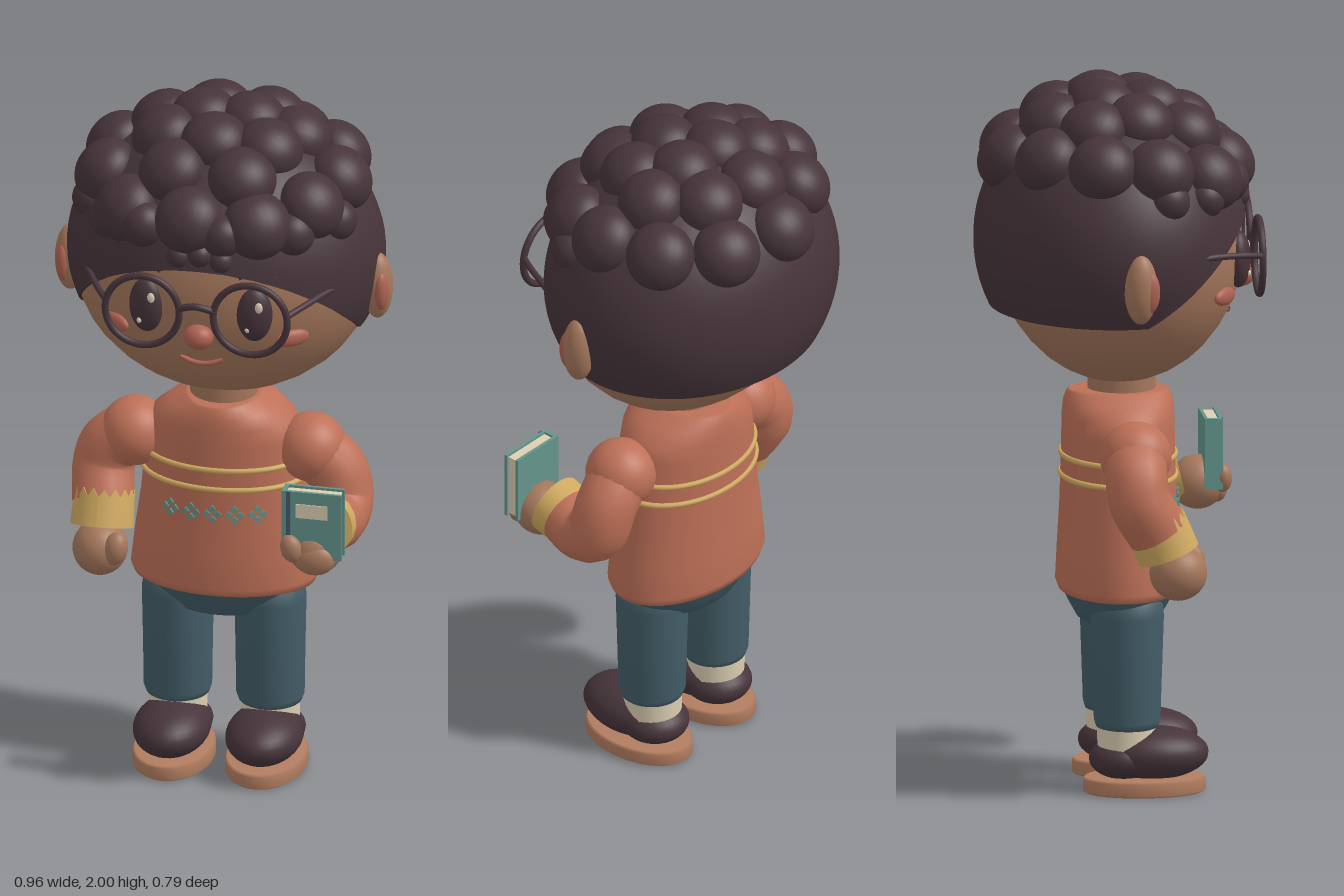
import * as THREE from 'three';

const mat = (name, color) => { const m = new THREE.MeshStandardMaterial({ color, side: THREE.DoubleSide }); m.name = name; return m; };
const M = {
  hair: mat('dark brown', 0x46343a), skin: mat('skin', 0xa5775c), sweater: mat('terracotta', 0xbd7057),
  pants: mat('slate blue', 0x435d67), teal: mat('teal', 0x64958c), mustard: mat('mustard', 0xcfa960),
  cream: mat('cream', 0xdccfb2), blush: mat('blush', 0xad6252), sole: mat('tan sole', 0xb27d60),
};
const V = (p) => new THREE.Vector3(...p);

function add(parent, name, geo, material, pos = [0, 0, 0], rot = [0, 0, 0], scale = [1, 1, 1]) {
  const m = new THREE.Mesh(geo, material);
  m.name = name;
  m.position.set(...pos); m.rotation.set(...rot); m.scale.set(...scale);
  parent.add(m);
  return m;
}
const ball = (parent, name, material, pos, scale, rot) =>
  add(parent, name, new THREE.SphereGeometry(1, 28, 20), material, pos, rot, scale);
const tube = (parent, name, material, pts, r, seg = 16) =>
  add(parent, name, new THREE.TubeGeometry(new THREE.CatmullRomCurve3(pts.map(V)), seg, r, 16), material);

// Surface of closed rings, listed bottom to top; fn(row, angle) gives a point
function rings(rows, cols, fn) {
  const pos = [], idx = [];
  for (let i = 0; i < rows; i++) for (let j = 0; j < cols; j++) {
    pos.push(...fn(i, (j / cols) * Math.PI * 2));
    if (i === rows - 1) continue;
    const a = i * cols + j, b = i * cols + (j + 1) % cols;
    idx.push(a, b, b + cols, a, b + cols, a + cols);
  }
  const g = new THREE.BufferGeometry();
  g.setAttribute('position', new THREE.Float32BufferAttribute(pos, 3));
  g.setIndex(idx);
  g.computeVertexNormals();
  return g;
}
// Elliptical loft from [y, rx, rz] sections; repeat a section for a sharp edge
const loft = (s) => rings(s.length, 48, (i, a) => [s[i][1] * Math.sin(a), s[i][0], s[i][2] * Math.cos(a)]);

// Hair cap with a hairline that climbs toward the forehead
const H = { rx: 0.445, ry: 0.4, rz: 0.38, cy: 1.54, cz: -0.02 };
const capPoint = (t, a) => [H.rx * Math.sin(t) * Math.sin(a), H.cy + H.ry * Math.cos(t), H.cz + H.rz * Math.sin(t) * Math.cos(a)];
function hairEdge(a) {
  let t = 0.3;
  for (; t < 2.6; t += 0.004) {
    const [, y, z] = capPoint(t, a), d = Math.max(0, z - 0.04);
    if (y < 1.36 + 0.6 * d + 0.9 * d * d) break;
  }
  return t;
}
function hairCap() {
  const n = 24;
  return rings(n + 3, 72, (i, a) => {
    const e = hairEdge(a);
    if (i === 0) { const p = capPoint(e, a); return [p[0] * 0.86, p[1], p[2] * 0.86]; }
    return capPoint(e * (1 - Math.max(0, i - 2) / n) + 0.001, a);
  });
}

function buildHead(g) {
  ball(g, 'head', M.skin, [0, 1.53, 0], [0.43, 0.39, 0.345]);
  add(g, 'neck', new THREE.CylinderGeometry(0.095, 0.095, 0.16, 28), M.skin, [0, 1.14, 0.01]);
  add(g, 'hairCap', hairCap(), M.hair);

  // Curls sit on the cap: x, z
  const curls = [
    [-.05, -.31], [.15, -.28], [-.22, -.22], [-.06, -.19], [.10, -.17], [.29, -.16], [-.32, -.08], [-.19, -.09],
    [-.07, -.05], [.07, -.05], [.20, -.05], [.33, .01], [-.32, .08], [-.16, .04], [-.01, .09], [.14, .07],
    [.28, .16], [-.11, .18], [.09, .19], [-.23, .23], [.15, .27], [-.04, .29],
  ];
  for (const [x, z] of curls) {
    const y = H.cy + H.ry * 0.96 * Math.sqrt(1 - (x / H.rx) ** 2 - ((z - H.cz) / H.rz) ** 2);
    const m = ball(g, 'curl', M.hair, [x, y, z], [0.096, 0.096, 0.08]);
    m.lookAt(x * 2.2, y + (y - H.cy) * 1.4, z * 2.2);
  }
  // Smaller curls above the forehead
  for (const [x, y, z, r] of [[-.35, 1.71, .1, .06], [-.28, 1.7, .21, .055], [-.17, 1.73, .28, .065], [.06, 1.73, .31, .06],
    [.24, 1.72, .23, .065], [.34, 1.72, .12, .06], [-.06, 1.665, .325, .035], [.0, 1.675, .33, .035], [.06, 1.66, .325, .035]])
    ball(g, 'smallCurl', M.hair, [x, y, z], [r, r, r]);

  for (const s of [1, -1]) {
    ball(g, 'ear', M.skin, [s * 0.435, 1.48, 0.013], [0.043, 0.098, 0.046]);
    ball(g, 'innerEar', M.blush, [s * 0.45, 1.475, 0.035], [0.022, 0.06, 0.03]);
    ball(g, 'eye', M.hair, [s * 0.153, 1.502, 0.318], [0.05, 0.08, 0.034], [0, s * 0.2, 0]);
    ball(g, 'eyeHighlight', M.cream, [s * 0.153 + 0.018, 1.535, 0.346], [0.011, 0.016, 0.006]);
    ball(g, 'eyeGlint', M.cream, [s * 0.153 - 0.015, 1.465, 0.345], [0.007, 0.009, 0.006]);
    tube(g, 'eyebrow', M.hair, [[s * 0.11, 1.615, 0.328], [s * 0.155, 1.63, 0.315], [s * 0.21, 1.61, 0.3]], 0.008);
    ball(g, 'cheek', M.blush, [s * 0.25, 1.417, 0.268], [0.05, 0.025, 0.016], [0, s * 0.65, 0]);
    // Glasses
    add(g, 'glassesRim', new THREE.TorusGeometry(0.105, 0.01, 12, 48), M.hair, [s * 0.153, 1.51, 0.374]);
    tube(g, 'glassesTemple', M.hair, [[s * 0.255, 1.53, 0.374], [s * 0.295, 1.54, 0.31], [s * 0.335, 1.545, 0.23], [s * 0.42, 1.54, 0.06]], 0.009);
  }
  tube(g, 'glassesBridge', M.hair, [[-0.052, 1.525, 0.374], [0, 1.54, 0.384], [0.052, 1.525, 0.374]], 0.01);
  ball(g, 'nose', M.blush, [0, 1.43, 0.345], [0.042, 0.036, 0.036]);
  tube(g, 'mouth', M.blush, [[-0.06, 1.345, 0.299], [-0.02, 1.332, 0.303], [0.02, 1.332, 0.303], [0.06, 1.345, 0.299]], 0.007);
}

function buildBody(g) {
  add(g, 'sweater', loft([[.55, 0, 0], [.55, .24, .155], [.553, .255, .165], [.575, .264, .173], [.68, .252, .168], [.8, .235, .161],
    [1.0, .216, .156], [1.05, .2, .155], [1.085, .155, .152], [1.112, .108, .143], [1.117, .1, .135], [1.117, 0, 0]]), M.sweater);
  for (const [y, rx, rz] of [[0.934, .223, .159], [0.876, .229, .16]])
    add(g, 'chestStripe', new THREE.TorusGeometry(1, 0.04, 10, 64), M.mustard, [0, y, 0], [Math.PI / 2, 0, 0], [rx, rz, 0.2]);
  // Row of small knitted motifs, each made of four diamonds
  for (let i = -2; i <= 2; i++) {
    const x = i * 0.062, motif = new THREE.Group();
    motif.name = 'knitMotif';
    motif.position.set(x, 0.804, 0.163 * Math.sqrt(1 - (x / 0.235) ** 2) + 0.003);
    motif.rotation.y = Math.atan2(x / 0.055, Math.sqrt(1 - (x / 0.235) ** 2) / 0.161);
    for (let k = 0; k < 4; k++) {
      const a = k * Math.PI / 2;
      add(motif, 'knitDiamond', new THREE.CylinderGeometry(0.011, 0.011, 0.006, 4), M.teal,
        [0.016 * Math.cos(a), 0.016 * Math.sin(a), 0], [Math.PI / 2, 0, 0]);
    }
    g.add(motif);
  }
  add(g, 'pelvis', loft([[.465, 0, 0], [.465, .15, .1], [.475, .175, .115], [.52, .22, .14], [.565, .24, .16]]), M.pants);

  for (const s of [1, -1]) {
    const leg = new THREE.Group();
    leg.name = s > 0 ? 'leftLeg' : 'rightLeg';
    leg.position.x = s * 0.131;
    g.add(leg);
    add(leg, 'trouserLeg', loft([[.18, 0, 0], [.18, .075, .075], [.186, .088, .086], [.205, .095, .092], [.35, .097, .097],
      [.5, .1, .102], [.545, .094, .098], [.56, .07, .07]]), M.pants, [0, 0, 0.01]);
    add(leg, 'sock', new THREE.CylinderGeometry(0.082, 0.08, 0.1, 28), M.cream, [0, 0.142, 0.008]);
    ball(leg, 'shoe', M.hair, [0, 0.108, 0.085], [0.107, 0.074, 0.152]);
    ball(leg, 'shoeHeel', M.hair, [0, 0.095, 0], [0.096, 0.058, 0.096]);
    add(leg, 'sole', loft([[0, 0, 0], [0, .106, .164], [.005, .112, .171], [.038, .112, .171], [.045, .106, .164], [.045, 0, 0]]), M.sole, [0, 0, 0.058]);
  }
}

// Cuff with a zigzag upper edge, pointing along dir
function cuff(g, pos, dir) {
  const geo = new THREE.CylinderGeometry(0.084, 0.088, 0.1, 32, 3), p = geo.attributes.position;
  for (let i = 0; i < p.count; i++) if (p.getY(i) > 0.04 && Math.hypot(p.getX(i), p.getZ(i)) > 0.01) {
    const k = Math.round(Math.atan2(p.getZ(i), p.getX(i)) / (Math.PI / 16));
    p.setY(i, 0.045 + (k % 2 ? 0.012 : -0.012));
  }
  geo.computeVertexNormals();
  const m = add(g, 'cuff', geo, M.mustard, pos);
  m.quaternion.setFromUnitVectors(new THREE.Vector3(0, -1, 0), V(dir).normalize());
}

function buildArms(g) {
  const arm = (name, pts) => {
    const a = new THREE.Group();
    a.name = name;
    g.add(a);
    ball(a, 'shoulder', M.sweater, pts[0], [0.097, 0.098, 0.1]);
    tube(a, 'sleeve', M.sweater, pts, 0.087, 28);
    return a;
  };
  // Right arm hangs at the side
  const r = arm('rightArm', [[-.25, .97, .02], [-.318, .92, .015], [-.338, .86, .022], [-.328, .77, .075]]);
  cuff(r, [-0.326, 0.755, 0.085], [0, -0.92, 0.35]);
  ball(r, 'hand', M.skin, [-0.325, 0.655, 0.13], [0.077, 0.078, 0.08]);
  ball(r, 'thumb', M.skin, [-0.272, 0.675, 0.175], [0.034, 0.05, 0.036], [0, 0, -0.2]);

  // Left arm bends forward to hold the book
  const l = arm('leftArm', [[.25, .97, .02], [.32, .9, .012], [.338, .82, .03], [.332, .79, .085], [.322, .805, .15]]);
  cuff(l, [0.32, 0.805, 0.157], [-0.05, 0.24, 1]);
  ball(l, 'hand', M.skin, [0.312, 0.778, 0.258], [0.078, 0.076, 0.078]);
  ball(l, 'thumb', M.skin, [0.258, 0.797, 0.322], [0.03, 0.042, 0.026], [0, 0, 0.3]);

  const book = new THREE.Group();
  book.name = 'book';
  book.position.set(0.315, 0.87, 0.294);
  l.add(book);
  add(book, 'pages', new THREE.BoxGeometry(0.155, 0.186, 0.034), M.cream, [0, 0, 0]);
  for (const s of [1, -1]) add(book, 'cover', new THREE.BoxGeometry(0.168, 0.2, 0.009), M.teal, [0, 0, s * 0.0205]);
  add(book, 'spine', new THREE.BoxGeometry(0.012, 0.2, 0.05), M.teal, [-0.079, 0, 0]);
  add(book, 'spineCrease', new THREE.BoxGeometry(0.012, 0.2, 0.004), M.pants, [-0.066, 0, 0.0255]);
  add(book, 'titlePlate', new THREE.BoxGeometry(0.09, 0.042, 0.004), M.cream, [0, 0.043, 0.0255]);
  ball(l, 'fingers', M.skin, [0.32, 0.765, 0.312], [0.058, 0.046, 0.03]);
}

export function createModel() {
  const g = new THREE.Group();
  g.name = 'childWithBook';
  buildHead(g);
  buildBody(g);
  buildArms(g);
  return g;
}
